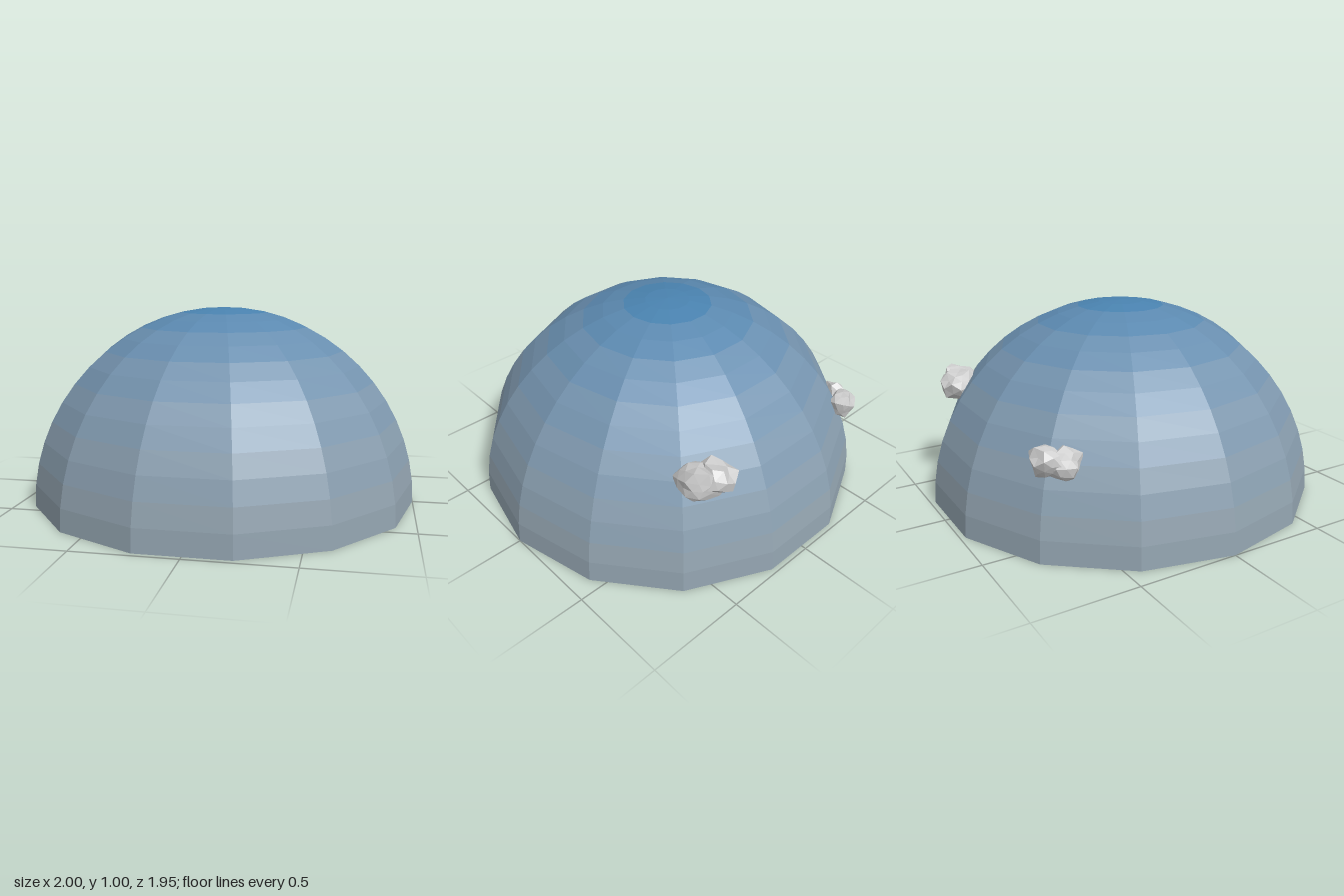
import * as THREE from 'three';

// Repeatable value in 0..1 from a corner position and a seed
function hash(p, seed) {
  const s = Math.sin(p.x * 12.99 + p.y * 78.23 + p.z * 37.72 + seed * 4.7) * 437.58;
  return s - Math.floor(s);
}

// Crumpled lump of stone with a cut-off underside
function makeLump(material, { at, size, turn, seed, floor }) {
  const geometry = new THREE.IcosahedronGeometry(1, 1);
  const corners = geometry.attributes.position;
  const p = new THREE.Vector3();
  for (let i = 0; i < corners.count; i++) {
    p.fromBufferAttribute(corners, i);
    p.set(...p.toArray().map((n) => Math.round(n * 1000) / 1000));
    p.multiplyScalar(0.72 + 0.42 * hash(p, seed));
    p.y = Math.max(p.y, -floor);
    corners.setXYZ(i, p.x * size[0], p.y * size[1], p.z * size[2]);
  }
  geometry.computeVertexNormals();
  const lump = new THREE.Mesh(geometry, material);
  lump.position.set(...at);
  lump.rotation.y = turn;
  lump.name = 'rockLump';
  return lump;
}

function makeRock(name, material, lumps) {
  const rock = new THREE.Group();
  rock.name = name;
  lumps.forEach((lump) => rock.add(makeLump(material, lump)));
  return rock;
}

export function createModel() {
  const model = new THREE.Group();
  model.name = 'domeWithRocks';

  // Open faceted dome, one ring per tint from blue crown to grey rim
  const dome = new THREE.Group();
  dome.name = 'dome';
  const rings = 7;
  const step = Math.PI / 2 / rings;
  const crown = new THREE.Color(0x4a83b0);
  const rim = new THREE.Color(0x93a4b0);
  for (let i = 0; i < rings; i++) {
    const material = new THREE.MeshStandardMaterial({ flatShading: true, side: THREE.DoubleSide });
    material.color.copy(crown).lerp(rim, i / (rings - 1));
    const band = new THREE.Mesh(
      new THREE.SphereGeometry(1, 14, 1, 0, Math.PI * 2, i * step, step), material);
    band.name = `domeRing${i + 1}`;
    dome.add(band);
  }
  model.add(dome);

  // Rocks stuck to the back of the dome
  const stone = new THREE.MeshStandardMaterial({ color: 0xcccccc, flatShading: true });
  model.add(makeRock('largeRock', stone, [
    { at: [0.40, 0.55, -0.755], size: [0.10, 0.09, 0.09], turn: 0.3, seed: 1, floor: 0.75 },
    { at: [0.485, 0.55, -0.715], size: [0.10, 0.095, 0.115], turn: 0.5, seed: 2, floor: 0.72 },
  ]));
  model.add(makeRock('smallRock', stone, [
    { at: [-0.575, 0.45, -0.72], size: [0.085, 0.08, 0.065], turn: 0.4, seed: 3, floor: 0.8 },
    { at: [-0.62, 0.44, -0.65], size: [0.06, 0.08, 0.085], turn: -0.3, seed: 4, floor: 0.8 },
  ]));
  return model;
}
